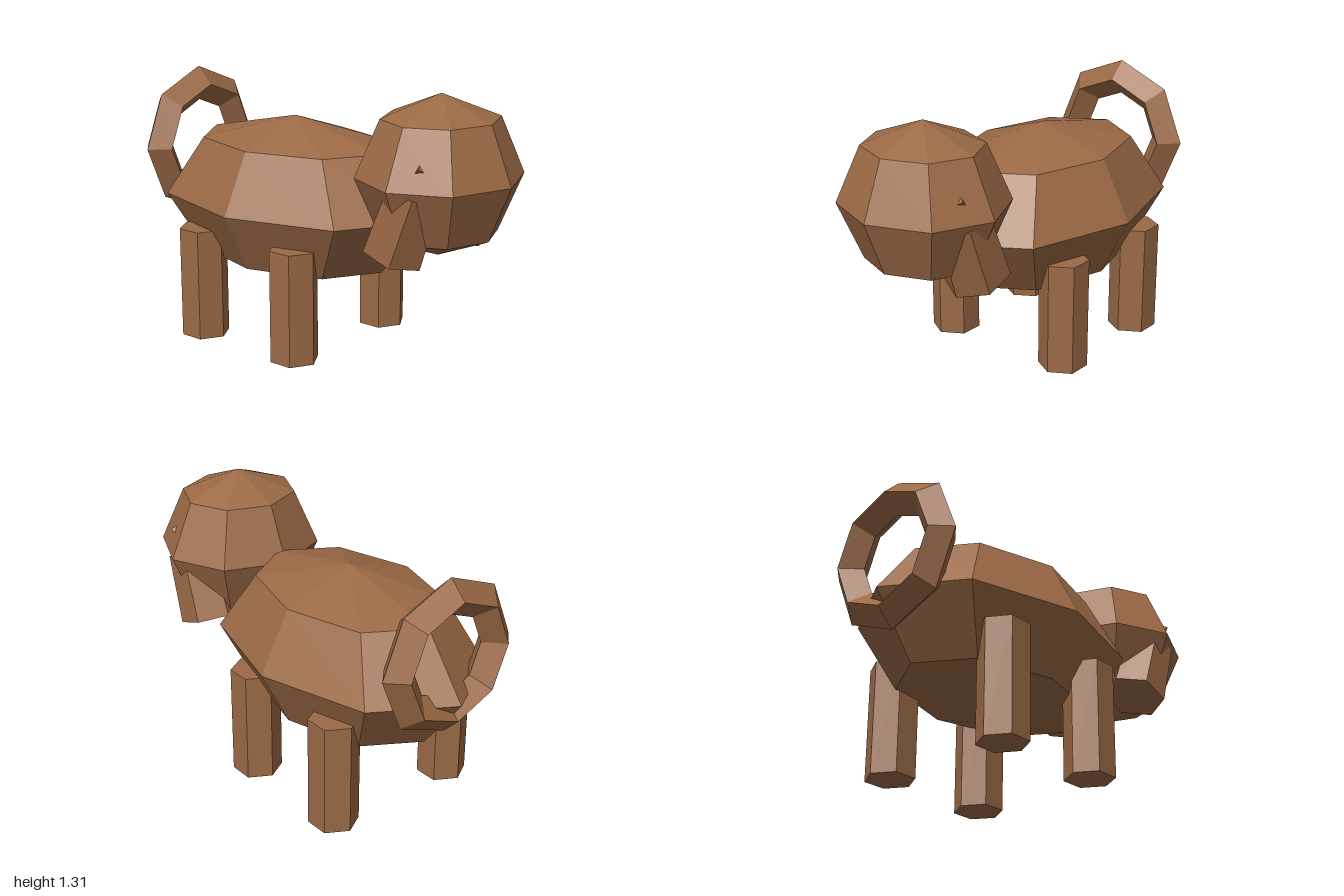
import * as THREE from 'three';

export function createModel() {
  const group = new THREE.Group();
  const fur = new THREE.MeshStandardMaterial({ color: 0x9c6a46, flatShading: true });

  const add = (name, geometry, x, y, z) => {
    const mesh = new THREE.Mesh(geometry, fur);
    mesh.name = name;
    mesh.position.set(x, y, z);
    group.add(mesh);
    return mesh;
  };

  // Faceted ellipsoids for the trunk and the head
  const ball = new THREE.SphereGeometry(1, 8, 4);
  add('body', ball, 0, 0.69, -0.24).scale.set(0.515, 0.41, 0.76);
  add('head', ball, 0, 0.933, 0.62).scale.set(0.41, 0.378, 0.38);

  // Ring-shaped curled tail with a diamond section
  add('tail', new THREE.TorusGeometry(0.29, 0.087, 4, 8), 0, 0.895, -0.898);

  const leg = new THREE.CylinderGeometry(0.12, 0.12, 0.553, 6);
  const earLength = 0.34;
  const ear = new THREE.CylinderGeometry(0.138, 0.154, earLength, 6);
  ear.translate(0, earLength / 2, 0);
  const eye = new THREE.ConeGeometry(0.045, 0.04, 3);
  const up = new THREE.Vector3(0, 1, 0);

  for (const [side, label] of [[1, 'left'], [-1, 'right']]) {
    // Six-sided legs
    add(label + 'FrontLeg', leg, side * 0.345, 0.2765, 0.038);
    add(label + 'BackLeg', leg, side * 0.345, 0.2765, -0.55);

    // Hanging ears, leaning forward into the head
    add(label + 'Ear', ear, side * 0.241, 0.605, 0.543).rotation.x = 0.353;

    // Tiny eyes just breaking the surface
    const outward = new THREE.Vector3(side * 0.83, 0.37, 0.37).normalize();
    add(label + 'Eye', eye, side * 0.316, 1.032, 0.73).quaternion.setFromUnitVectors(up, outward);
  }

  return group;
}
